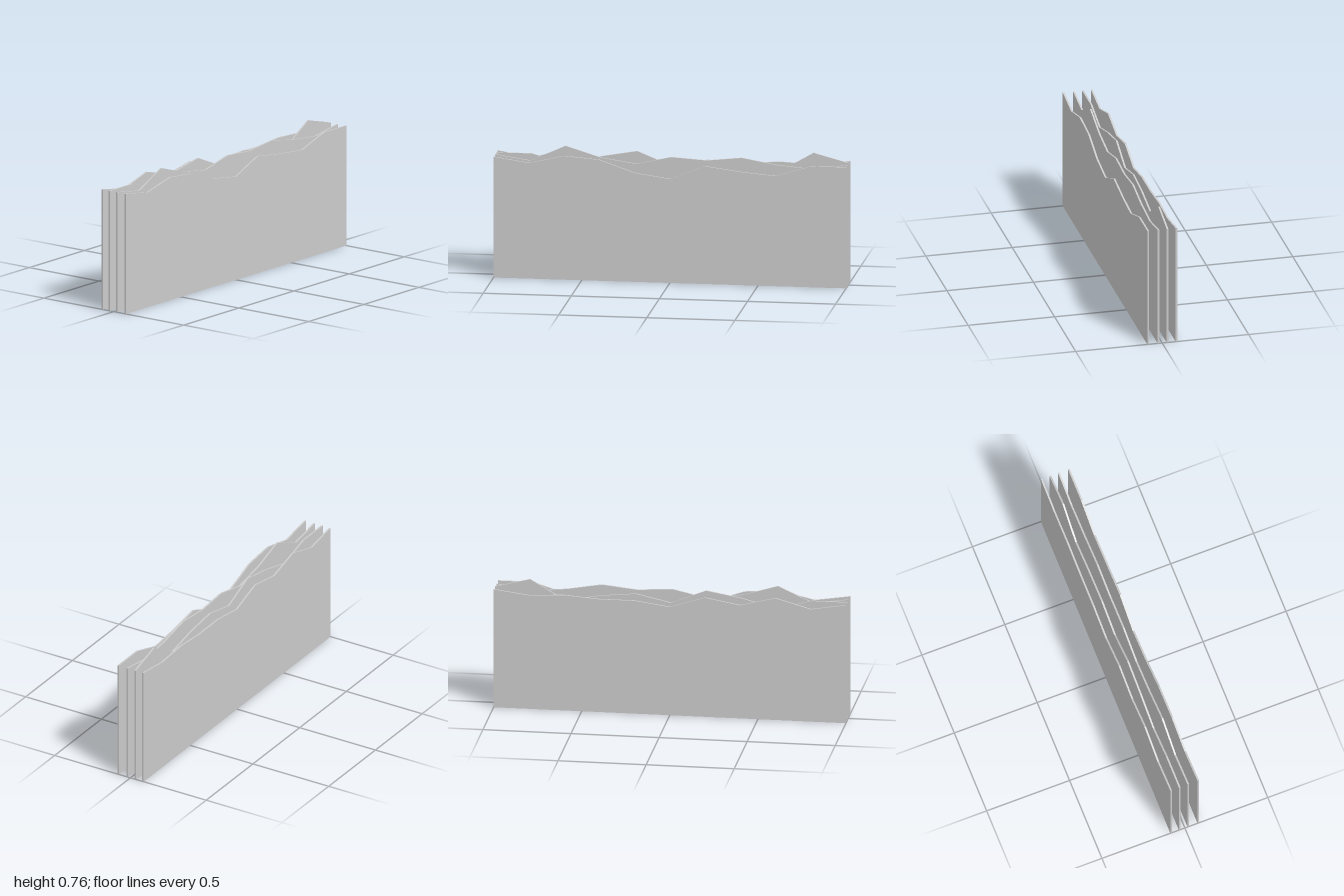
import * as THREE from 'three';

const THICKNESS = 0.01;

// Each ridge panel: its x position and top heights, evenly spaced from z = 1 (front) to z = -1 (back)
const PANELS = [
  { x: -0.0825, tops: [0.695, 0.662, 0.718, 0.667, 0.702, 0.638, 0.666, 0.665, 0.68, 0.67, 0.695] },
  { x: -0.031, tops: [0.695, 0.695, 0.64, 0.692, 0.727, 0.646, 0.69, 0.67, 0.632, 0.748, 0.695] },
  { x: 0.021, tops: [0.695, 0.665, 0.756, 0.695, 0.665, 0.71, 0.697, 0.718, 0.683, 0.665, 0.695] },
  { x: 0.081, tops: [0.695, 0.664, 0.711, 0.695, 0.626, 0.597, 0.677, 0.65, 0.633, 0.695, 0.695] },
];

// Upright sheet with a jagged top edge, outlined in the z-y plane
function ridgePanel(tops) {
  const shape = new THREE.Shape();
  shape.moveTo(-1, 0);
  shape.lineTo(1, 0);
  tops.forEach((y, i) => shape.lineTo(1 - (2 * i) / (tops.length - 1), y));
  shape.closePath();
  const geometry = new THREE.ExtrudeGeometry(shape, { depth: THICKNESS, bevelEnabled: false });
  geometry.translate(0, 0, -THICKNESS / 2);
  geometry.rotateY(-Math.PI / 2); // outline x becomes z
  return geometry;
}

export function createModel() {
  const group = new THREE.Group();
  group.name = 'layeredRidges';
  const material = new THREE.MeshStandardMaterial({ color: 0xcccccc, flatShading: true });

  // Row of free-standing parallel panels
  PANELS.forEach(({ x, tops }, i) => {
    const panel = new THREE.Mesh(ridgePanel(tops), material);
    panel.name = `ridgePanel${i + 1}`;
    panel.position.x = x;
    group.add(panel);
  });
  return group;
}
